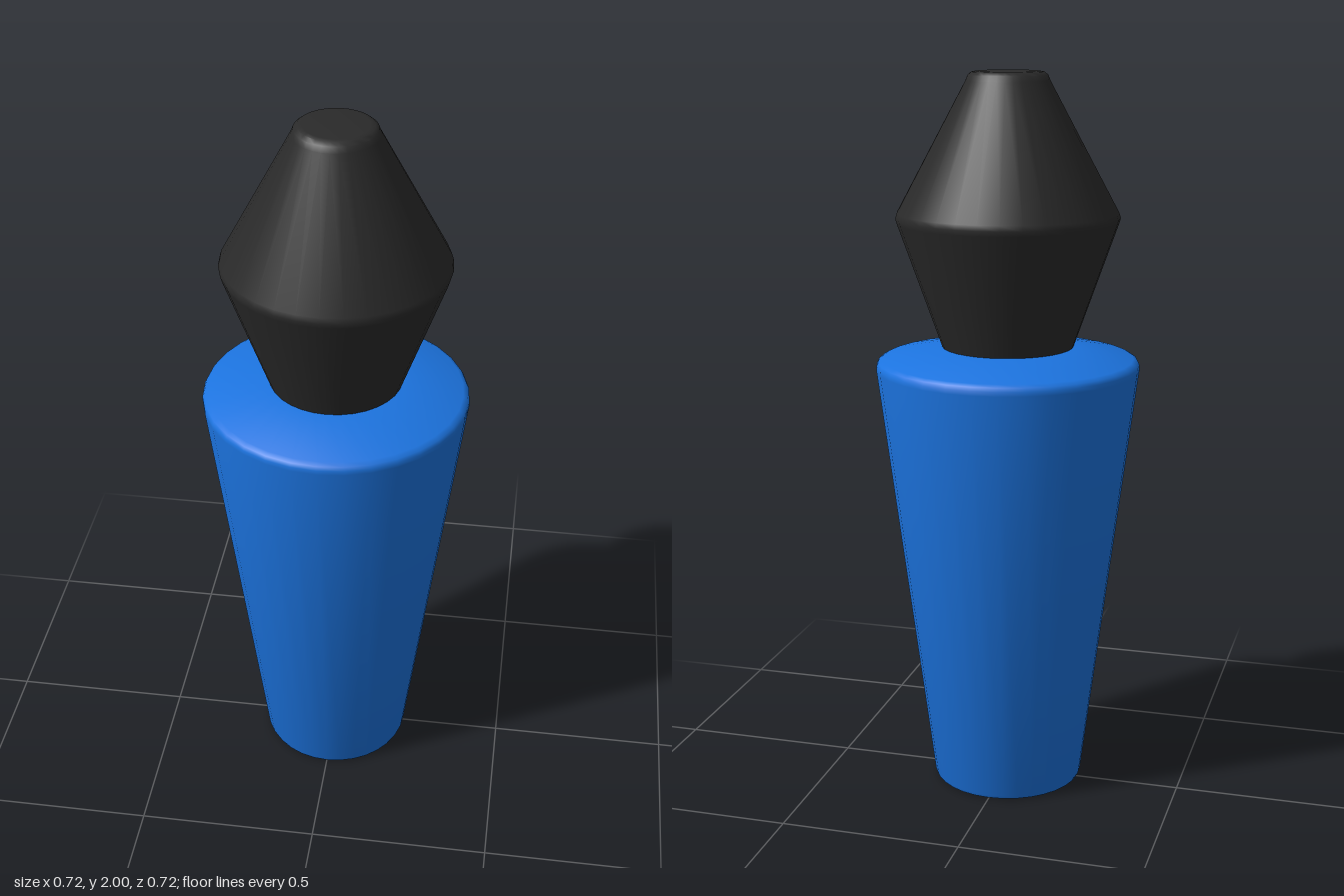
import * as THREE from 'three';
import { toCreasedNormals } from 'three/addons/utils/BufferGeometryUtils.js';

const SIDES = 32;

// Turned solid from a bottom-to-top list of [radius, height]
function turned(name, profile, color) {
  const points = profile.map(([r, y]) => new THREE.Vector2(r, y));
  const geometry = toCreasedNormals(new THREE.LatheGeometry(points, SIDES), 0.6);
  const mesh = new THREE.Mesh(geometry, new THREE.MeshStandardMaterial({ color }));
  mesh.name = name;
  return mesh;
}

export function createModel() {
  const group = new THREE.Group();
  group.name = 'taperedPeg';

  // Tapered body with softened rims and a shallow conical shoulder
  group.add(turned('body', [
    [0, 0], [0.2, 0], [0.207, 0.003], [0.211, 0.012],
    [0.362, 1.2], [0.362, 1.212], [0.357, 1.222], [0.345, 1.229],
    [0.18, 1.262], [0, 1.262],
  ], 0x1c74e0));

  // Double-cone tip with a narrow rounded waist and a flat top
  group.add(turned('tip', [
    [0, 1.255], [0.178, 1.255], [0.3, 1.6],
    [0.304, 1.614], [0.3, 1.628],
    [0.113, 1.975], [0.107, 1.99], [0.097, 1.998], [0.085, 2], [0, 2],
  ], 0x2a2a2a));

  return group;
}
